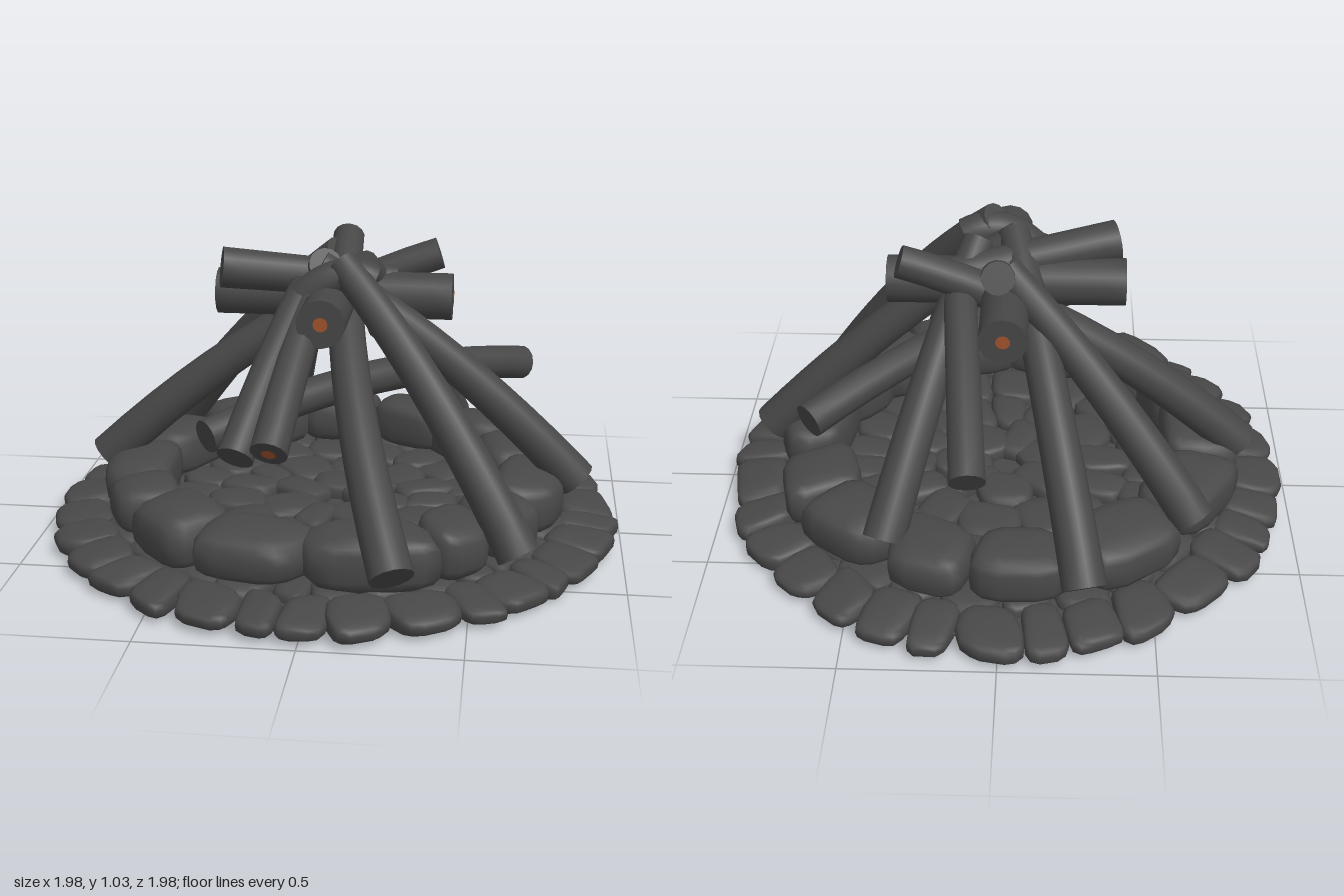
import * as THREE from 'three';
import { mergeVertices } from 'three/addons/utils/BufferGeometryUtils.js';

const flat = (name, hex) => {
  const m = new THREE.MeshStandardMaterial({ color: hex });
  m.name = name;
  return m;
};

// Seeded random numbers, so the stones always come out alike
let seed = 11;
const rand = (a, b) => {
  seed = (seed * 16807) % 2147483647;
  return a + (b - a) * (seed / 2147483647);
};

// Rounded, irregular block with half sizes hx, hy, hz; slope lowers its top towards +z
function stoneGeometry(hx, hy, hz, slope) {
  let g = new THREE.SphereGeometry(1, 14, 10);
  g.deleteAttribute('uv');
  g.deleteAttribute('normal');
  g = mergeVertices(g, 1e-4);
  const p = g.attributes.position;
  const a = rand(0, 6.28), b = rand(0, 6.28), skew = rand(-0.14, 0.14);
  const square = (v) => Math.sign(v) * Math.abs(v) ** 0.62;
  for (let i = 0; i < p.count; i++) {
    const x = p.getX(i), y = p.getY(i), z = p.getZ(i);
    const w = 1 + 0.07 * Math.sin(3 * x + a) + 0.07 * Math.sin(4 * z + b);
    const sx = THREE.MathUtils.clamp(square(x) * w, -1.05, 1.05);
    const sz = THREE.MathUtils.clamp(square(z) * w, -1.05, 1.05);
    const lift = y > 0 ? 1 + skew * x - slope * sz : 1;
    p.setXYZ(i, hx * (sx + skew * sz), hy * square(y) * lift, hz * (sz + skew * sx));
  }
  g.computeVertexNormals();
  return g;
}

// Log swept along a curve, tapering from r0 to r1, with closed ends
function logGeometry(curve, r0, r1) {
  const g = new THREE.CylinderGeometry(1, 1, 1, 14, 12);
  const p = g.attributes.position;
  const side = new THREE.Vector3(), up = new THREE.Vector3();
  const along = curve.getPoint(1).sub(curve.getPoint(0));
  const level = new THREE.Vector3(along.z, 0, -along.x).normalize();
  for (let i = 0; i < p.count; i++) {
    const t = THREE.MathUtils.clamp(p.getY(i) + 0.5, 0, 1);
    const c = curve.getPoint(t), tangent = curve.getTangent(t);
    const r = THREE.MathUtils.lerp(r0, r1, t);
    up.crossVectors(level, tangent).normalize();
    side.crossVectors(tangent, up);
    c.addScaledVector(side, p.getX(i) * r).addScaledVector(up, p.getZ(i) * r);
    p.setXYZ(i, c.x, c.y, c.z);
  }
  g.computeVertexNormals();
  return g;
}

export function createModel() {
  seed = 11;
  const stone = flat('charcoal stone', 0x484848);
  const wood = flat('charred wood', 0x464646);
  const ember = flat('ember', 0xa0522d);
  const model = new THREE.Group();
  model.name = 'campfire';

  const add = (parent, name, geometry, material) => {
    const m = new THREE.Mesh(geometry, material);
    m.name = name;
    parent.add(m);
    return m;
  };
  const group = (name) => {
    const g = new THREE.Group();
    g.name = name;
    model.add(g);
    return g;
  };

  // Ground slab under the stones
  add(model, 'groundSlab', new THREE.CylinderGeometry(0.9, 0.42, 0.05, 32), stone)
    .position.y = 0.035;

  // Ring of stones with uneven widths that together fill the circle
  const stoneRing = (parent, name, radius, count, depth, y, halfHeight, slope) => {
    const widths = Array.from({ length: count }, () => rand(0.7, 1.35));
    const total = widths.reduce((s, w) => s + w, 0);
    let angle = rand(0, 1);
    for (const w of widths) {
      const span = (w / total) * Math.PI * 2;
      const a = angle + span / 2;
      const width = radius * Math.tan(span / 2) * 1.06;
      const m = add(parent, name, stoneGeometry(
        width, halfHeight * rand(0.85, 1.05), depth * rand(0.9, 1.04), slope), stone);
      m.position.set(Math.sin(a) * radius, y, Math.cos(a) * radius);
      m.rotation.y = a + rand(-0.1, 0.1);
      angle += span;
    }
  };

  // Flat paving, from the sloping rim to the middle
  const paving = group('paving');
  for (let i = 0; i < 5; i++) {
    const radius = 0.88 - 0.18 * i;
    stoneRing(paving, 'pavingStone', radius, Math.round(radius * 34) + 2,
      0.109, 0.055 + 0.004 * i, 0.043, i ? 0 : 0.35);
  }
  // Raised ring of boulders
  stoneRing(group('boulderRing'), 'boulder', 0.68, 14, 0.13, 0.175, 0.1, 0.1);

  // Log from foot to tip; bow lifts its middle and sway moves it along x
  const logs = group('logs');
  const addLog = (name, foot, tip, bow, r0, r1, sway = 0) => {
    const a = new THREE.Vector3(...foot), b = new THREE.Vector3(...tip);
    const mid = a.clone().lerp(b, 0.5);
    mid.x += sway * 2;
    mid.y += bow * 2;
    const curve = new THREE.QuadraticBezierCurve3(a, mid, b);
    add(logs, name, logGeometry(curve, r0, r1), wood);
    return curve;
  };
  // Glowing core on a cut end, t = 0 at the foot and 1 at the tip
  const addEmber = (curve, t) => {
    const out = curve.getTangent(t).multiplyScalar(t ? 1 : -1);
    const core = add(logs, 'emberCore', new THREE.CircleGeometry(0.024, 12), ember);
    core.position.copy(curve.getPoint(t)).addScaledVector(out, 0.004);
    core.quaternion.setFromUnitVectors(new THREE.Vector3(0, 0, 1), out);
  };

  // Long logs leaning on the boulders
  const lean = (name, foot, tip, bow, sway) => addLog(name, foot, tip, bow, 0.072, 0.055, sway);
  lean('leftLog', [-0.82, 0.22, -0.02], [0.35, 0.97, -0.11], 0.09);
  lean('rightLog', [0.84, 0.22, 0.04], [-0.04, 0.96, 0.09], 0.05);
  lean('frontRightLog', [0.65, 0.16, 0.57], [0.04, 0.99, 0.17], 0.06);
  lean('frontLog', [0.27, 0.18, 0.83], [0.02, 0.99, -0.25], 0.07, -0.06);
  lean('backLeftLog', [-0.27, 0.21, -0.83], [-0.02, 0.97, 0.1], 0.07);
  lean('backRightLog', [0.38, 0.22, -0.62], [0.1, 0.96, 0.06], 0.04);
  lean('backLeftBentLog', [-0.63, 0.24, -0.5], [0, 0.96, -0.14], 0.04);

  // Short logs hanging from the top of the pile, and the low arched one
  const hang = (name, foot, tip, bow) => addLog(name, foot, tip, bow, 0.06, 0.055);
  addEmber(hang('shortFrontLog', [-0.12, 0.52, 0.71], [-0.04, 0.9, 0.14], 0.02), 0);
  hang('shortFrontLeftLog', [-0.23, 0.49, 0.68], [-0.08, 0.9, 0.15], 0.02);
  hang('shortBackLog', [0.1, 0.53, -0.72], [0.16, 0.88, 0], 0.02);
  hang('archedLog', [0.64, 0.51, -0.37], [-0.34, 0.52, 0.58], 0.07);
  // Bent top joining the front logs
  hang('ridgeLog', [0.14, 0.93, 0.16], [-0.1, 0.86, 0.2], 0.05);

  // Thick logs crossing at the top
  for (const [name, x, z] of [['crossLog', 0.4, 0], ['lengthwiseLog', 0, 0.4]]) {
    const curve = addLog(name, [-x, 0.845, -z], [x, 0.845, z], 0, 0.08, 0.08);
    addEmber(curve, 0);
    addEmber(curve, 1);
  }
  addLog('upperCrossLog', [-0.37, 0.95, 0.1], [0.2, 0.88, -0.04], 0, 0.07, 0.06);
  return model;
}
